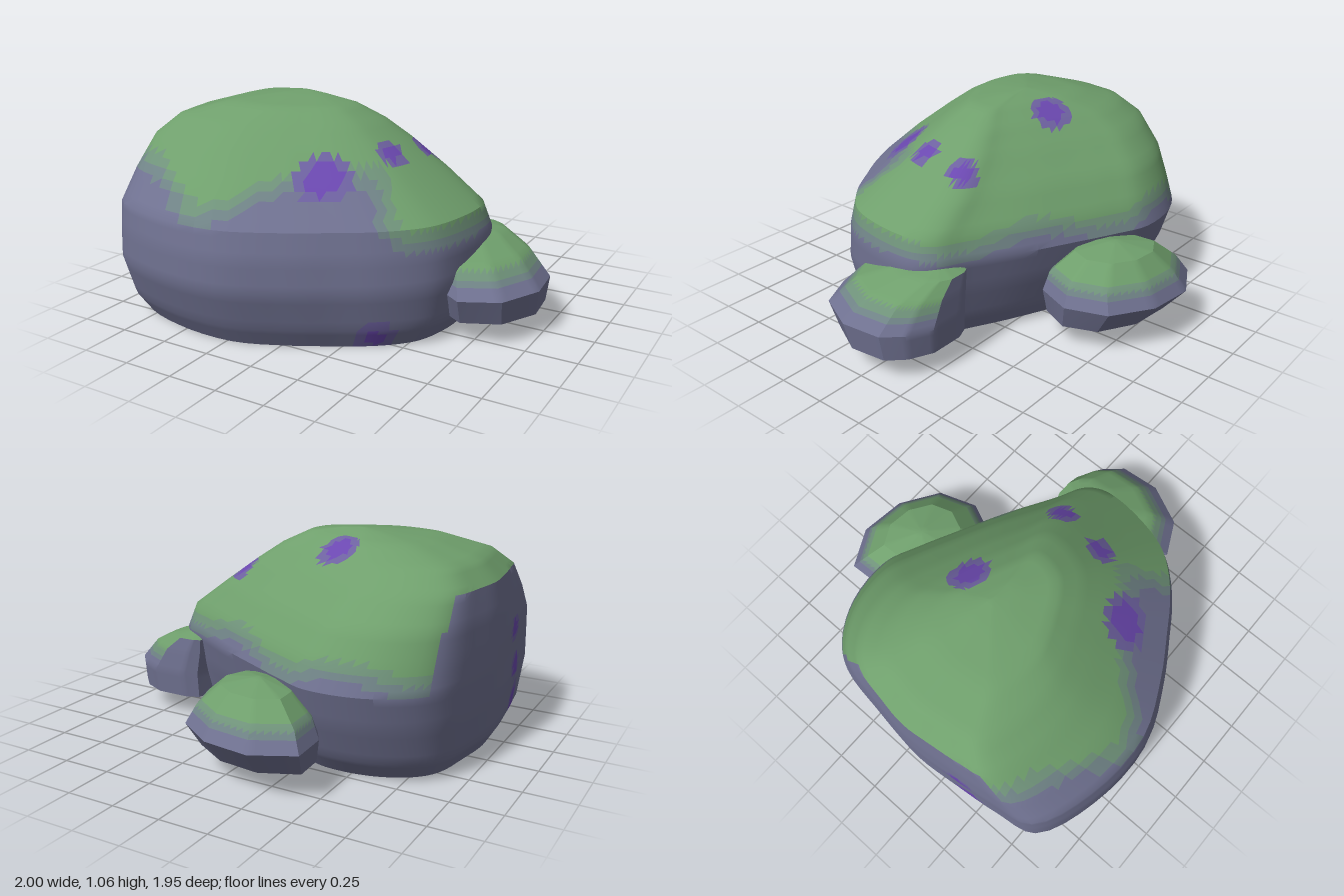
import * as THREE from 'three';
import { toCreasedNormals } from 'three/addons/utils/BufferGeometryUtils.js';

const STONE = new THREE.Color(0x6f7190);
const MOSS = new THREE.Color(0x6f9f6c);
const VIOLET = new THREE.Color(0x6b48b0);
const smooth = THREE.MathUtils.smoothstep;

// Colour bands, from bare stone through soft edges to moss and violet
const BANDS = [
  ['Stone', STONE],
  ['MossFringe', STONE.clone().lerp(MOSS, 0.33)],
  ['MossEdge', STONE.clone().lerp(MOSS, 0.67)],
  ['Moss', MOSS],
  ['VioletEdge', STONE.clone().lerp(VIOLET, 0.45)],
  ['Violet', VIOLET],
].map(([name, color]) => ({ name, material: new THREE.MeshStandardMaterial({ color }) }));

// Loft an outline [x, z] through levels [y, xMin, xMax, zMin, zMax]; both ends close to a point
function loft(outline, levels, around, perLevel, rounded) {
  const pts = outline.map(([x, z]) => new THREE.Vector3(x, 0, z));
  const box = new THREE.Box3().setFromPoints(pts);
  const size = box.getSize(new THREE.Vector3());
  const curve = new THREE.CatmullRomCurve3(pts, true);
  const n = pts.length;
  const ring = Array.from({ length: around }, (_, i) => {
    const u = i / around * n, k = Math.floor(u);
    const p = rounded ? curve.getPoint(i / around)
      : pts[k].clone().lerp(pts[(k + 1) % n], u - k);
    return p.sub(box.min).divide(new THREE.Vector3(size.x, 1, size.z));
  });
  const rows = (levels.length - 1) * perLevel + 1;
  const grid = [];
  for (let j = 0; j < rows; j++) {
    const k = Math.min(Math.floor(j / perLevel), levels.length - 2);
    const t = j / perLevel - k;
    const [y, x0, x1, z0, z1] = levels[k].map((a, i) => a + (levels[k + 1][i] - a) * t);
    grid.push(ring.map(p => new THREE.Vector3(x0 + p.x * (x1 - x0), y, z0 + p.z * (z1 - z0))));
  }
  const pos = [];
  const tri = new THREE.Triangle();
  const face = (a, b, c) => {
    tri.set(a, b, c);
    if (tri.getArea() > 1e-8) for (const p of [a, b, c]) pos.push(p.x, p.y, p.z);
  };
  for (let j = 0; j < rows - 1; j++) {
    for (let i = 0; i < around; i++) {
      const h = (i + 1) % around;
      const a = grid[j][i], b = grid[j][h], c = grid[j + 1][h], d = grid[j + 1][i];
      face(a, d, b);
      face(b, d, c);
    }
  }
  const geo = new THREE.BufferGeometry();
  geo.setAttribute('position', new THREE.Float32BufferAttribute(pos, 3));
  return geo;
}

// Split a rock into one mesh per colour band, chosen by each face's centre and normal
function paintedRock(name, geometry, crease, paint) {
  const geo = toCreasedNormals(geometry, crease);
  const P = geo.attributes.position.array, N = geo.attributes.normal.array;
  const parts = BANDS.map(() => ({ p: [], n: [] }));
  const tri = new THREE.Triangle(), mid = new THREE.Vector3(), nor = new THREE.Vector3();
  for (let i = 0; i < P.length; i += 9) {
    tri.a.fromArray(P, i);
    tri.b.fromArray(P, i + 3);
    tri.c.fromArray(P, i + 6);
    const part = parts[paint(tri.getMidpoint(mid), tri.getNormal(nor))];
    part.p.push(...P.slice(i, i + 9));
    part.n.push(...N.slice(i, i + 9));
  }
  const group = new THREE.Group();
  group.name = name;
  parts.forEach(({ p, n }, k) => {
    if (!p.length) return;
    const g = new THREE.BufferGeometry();
    g.setAttribute('position', new THREE.Float32BufferAttribute(p, 3));
    g.setAttribute('normal', new THREE.Float32BufferAttribute(n, 3));
    const mesh = new THREE.Mesh(g, BANDS[k].material);
    mesh.name = name + BANDS[k].name;
    group.add(mesh);
  });
  return group;
}

const mossBand = (height, width) => Math.round(3 * smooth(height, -width, width));

// Violet stains: x, y, z, radius
const STAINS = [
  [0.1, 0.75, 0.53, 0.14], [0.42, 0.03, 0.62, 0.12], [-0.25, 1.0, -0.15, 0.11],
  [0.32, 0.8, -0.05, 0.08], [0.27, 0.82, 0.22, 0.08], [-0.96, 0.15, 0.5, 0.09],
  [-0.98, 0.35, 0.45, 0.08], [-0.98, 0.55, 0.4, 0.07],
];

function paintBoulder(p, n) {
  for (const [x, y, z, r] of STAINS) {
    const d = Math.hypot(p.x - x, p.y - y, p.z - z) / r;
    if (d < 0.65) return 5;
    if (d < 1) return 4;
  }
  if (n.x < -0.8) return 0;
  // moss hangs lower at the back and in a lobe on the front
  const front = 0.77 - 0.15 * Math.exp(-(((p.x + 0.35) / 0.24) ** 2)) - 0.25 * smooth(p.x, 0.25, 0.55);
  const back = 0.53 + 0.03 * Math.sin(p.x * 9);
  return mossBand(p.y - THREE.MathUtils.lerp(back, front, smooth(p.z, -0.1, 0.3)), 0.09);
}

const paintPebble = (p, n) => (n.y < 0.2 ? 0 : mossBand(p.y - 0.32, 0.05));

export function createModel() {
  const model = new THREE.Group();
  model.name = 'mossyRocks';

  // Main boulder: rounded triangle in plan, steep left face, domed top
  const boulder = loft(
    [[-1, 0.1], [-0.97, -0.15], [-0.92, -0.41], [-0.83, -0.54], [-0.63, -0.65], [-0.37, -0.67],
      [-0.2, -0.6], [0, -0.5], [0.25, -0.37], [0.5, -0.22], [0.63, -0.15], [0.69, -0.06],
      [0.7, 0.1], [0.65, 0.35], [0.59, 0.46], [0.45, 0.6], [0.27, 0.72], [0.07, 0.84],
      [-0.22, 0.96], [-0.6, 0.94], [-0.9, 0.81], [-0.95, 0.6], [-0.98, 0.35]],
    [[0, -0.2, -0.2, 0.2, 0.2],
      [0, -0.92, 0.59, -0.45, 0.84],
      [0.1, -0.98, 0.66, -0.53, 0.9],
      [0.3, -1, 0.7, -0.62, 0.97],
      [0.46, -1, 0.7, -0.67, 0.965],
      [0.58, -1, 0.66, -0.62, 0.94],
      [0.72, -0.99, 0.47, -0.54, 0.8],
      [0.86, -0.97, 0.28, -0.4, 0.63],
      [0.95, -0.88, 0.15, -0.27, 0.5],
      [1.02, -0.64, 0.01, -0.12, 0.36],
      [1.05, -0.42, -0.18, 0, 0.15],
      [1.06, -0.3, -0.3, 0.05, 0.05]],
    92, 4, true);
  model.add(paintedRock('boulder', boulder, 0.6, paintBoulder));

  // Small rock against the left side
  const sideRock = loft(
    [[0.45, 0.1], [0.53, -0.23], [0.6, -0.26], [0.78, -0.26], [0.9, -0.2], [0.98, -0.11],
      [1, 0.1], [0.9, 0.31], [0.72, 0.4], [0.62, 0.33]],
    [[0.11, 0.7, 0.7, 0.05, 0.05],
      [0.11, 0.45, 0.98, -0.25, 0.34],
      [0.24, 0.45, 1, -0.26, 0.4],
      [0.36, 0.45, 0.88, -0.25, 0.29],
      [0.43, 0.47, 0.73, -0.24, 0.1],
      [0.46, 0.58, 0.58, -0.12, -0.12]],
    60, 5, false);
  model.add(paintedRock('sideRock', sideRock, 0.5, paintPebble));

  // Small rock behind
  const backRock = loft(
    [[-0.45, -0.68], [-0.46, -0.87], [-0.26, -0.97], [-0.02, -0.94], [0.18, -0.81],
      [0.25, -0.61], [0.17, -0.43], [-0.05, -0.36], [-0.3, -0.45]],
    [[0.11, -0.1, -0.1, -0.62, -0.62],
      [0.11, -0.42, 0.21, -0.86, -0.37],
      [0.24, -0.46, 0.25, -0.97, -0.35],
      [0.33, -0.41, 0.2, -0.91, -0.37],
      [0.43, -0.3, 0.08, -0.81, -0.47],
      [0.47, -0.12, -0.12, -0.64, -0.64]],
    54, 5, false);
  model.add(paintedRock('backRock', backRock, 0.5, paintPebble));

  return model;
}
